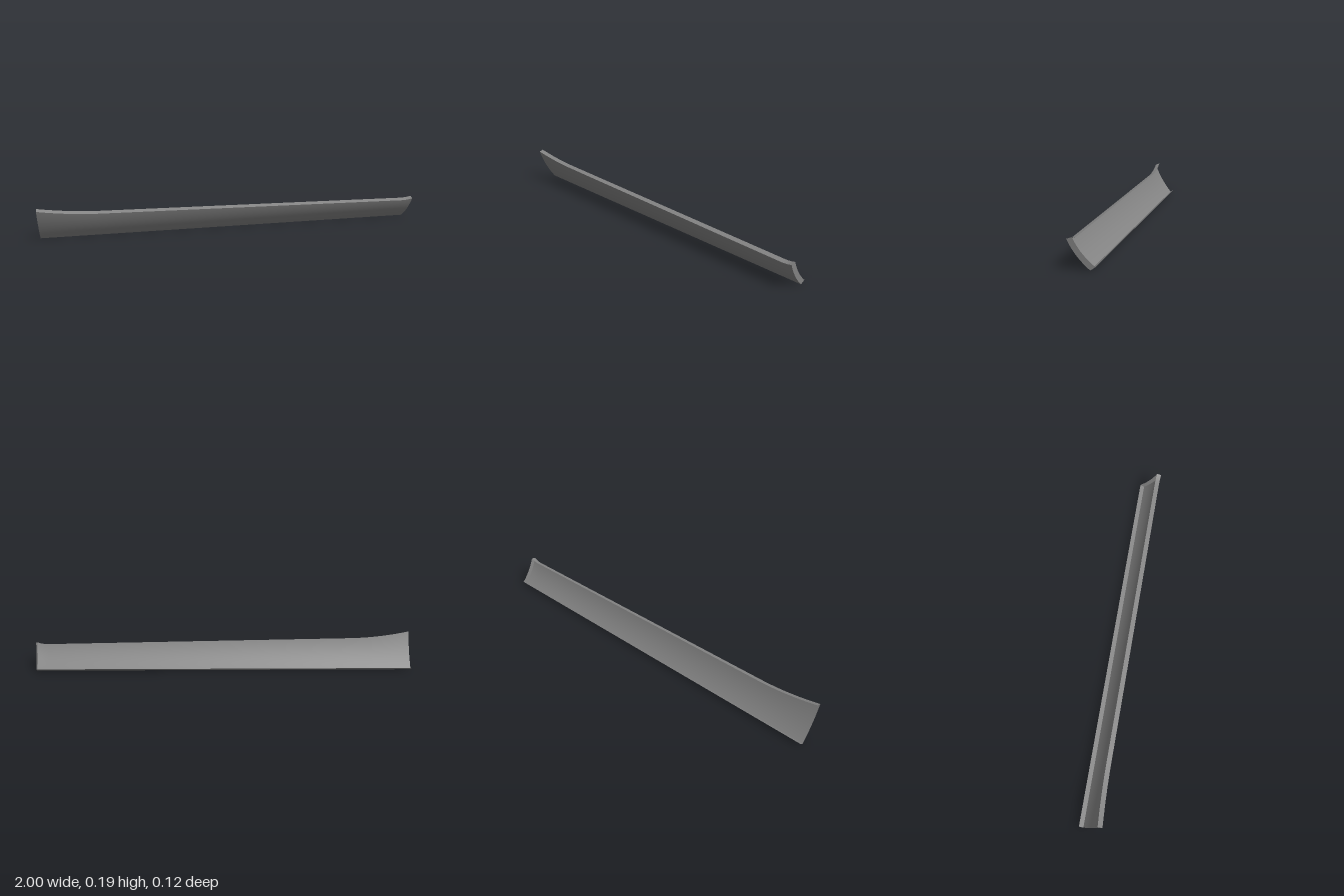
import * as THREE from 'three';
import { ParametricGeometry } from 'three/addons/geometries/ParametricGeometry.js';

const { lerp, clamp } = THREE.MathUtils;

// Point on the trim strip: u runs along x, t from bottom to top edge,
// s from the outer skin (0) to the rim of the returned flanges (1).
function stripPoint(u, t, s, target) {
  const along = lerp(-1, 1, u);
  const flareA = clamp((-0.68 - along) / 0.32, 0, 1) ** 2; // wide flare at the right end
  const flareB = clamp((along - 0.94) / 0.06, 0, 1) ** 2;  // small flare at the left end
  const topY = lerp(0.152, 0.118, u) + 0.028 * flareA + 0.01 * flareB;
  const topZ = 0.05 + 0.012 * flareA + 0.004 * flareB;
  const bulge = 0.009 * 4 * t * (1 - t);
  const z = lerp(-0.04, topZ, t) + 0.8 * bulge + s * lerp(-0.022, -0.0235, t);
  const y = topY * t - 0.6 * bulge + s * lerp(0.015, 0.0075, t);
  // the left end is cut at a slight slant
  const x = along - 0.013 * u * (1 - t);
  return target.set(x, y, z);
}

export function createModel() {
  const group = new THREE.Group();
  group.name = 'trimStrip';
  const material = new THREE.MeshStandardMaterial({ color: 0x858585, side: THREE.DoubleSide });

  const addSurface = (name, fn, slices, stacks) => {
    const mesh = new THREE.Mesh(new ParametricGeometry(fn, slices, stacks), material);
    mesh.name = name;
    group.add(mesh);
  };

  // Curved outer skin, open at the back
  addSurface('outerSkin', (u, v, p) => stripPoint(u, v, 0, p), 100, 16);
  // Narrow flanges returned along both long edges
  addSurface('topFlange', (u, v, p) => stripPoint(u, 1, v, p), 100, 1);
  addSurface('bottomFlange', (u, v, p) => stripPoint(u, 0, 1 - v, p), 100, 1);
  // Flange closing the left end
  addSurface('endFlange', (u, v, p) => stripPoint(1, v, u, p), 1, 16);

  return group;
}
